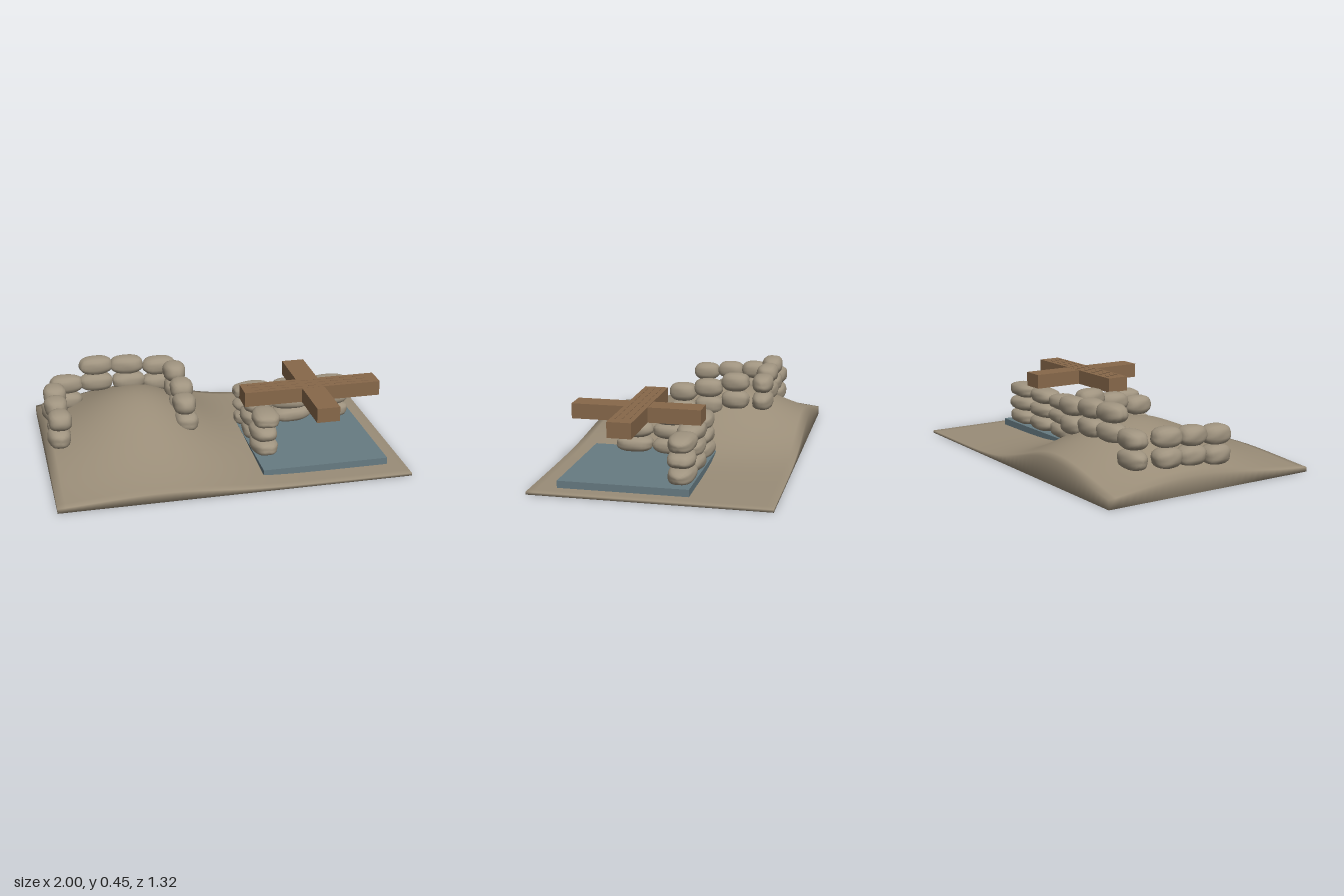
import * as THREE from 'three';
import { mergeVertices } from 'three/addons/utils/BufferGeometryUtils.js';

const material = (name, color) => {
  const m = new THREE.MeshStandardMaterial({ color });
  m.name = name;
  return m;
};

// smooth normals across the whole surface
function smooth(geometry) {
  geometry.deleteAttribute('uv');
  geometry.deleteAttribute('normal');
  const merged = mergeVertices(geometry, 1e-4);
  merged.computeVertexNormals();
  return merged;
}

// height of the earth: one broad mound on a thin slab
function groundHeight(x, z) {
  const dx = (x + 0.43) / (x < -0.43 ? 0.36 : 0.3);
  const dz = (z + 0.14) / 0.4;
  return 0.015 + 0.295 * Math.exp(-0.5 * (dx * dx + dz * dz));
}

function groundGeometry() {
  const g = new THREE.BoxGeometry(2, 1, 1.32, 44, 1, 30);
  const p = g.attributes.position;
  for (let i = 0; i < p.count; i++) {
    p.setY(i, p.getY(i) > 0 ? groundHeight(p.getX(i), p.getZ(i)) : 0);
  }
  return smooth(g);
}

// plump sack lying along x: rounded box with pinched ends and soft dents
function bagGeometry(length, height, depth, seed) {
  const g = new THREE.SphereGeometry(1, 20, 14);
  g.rotateZ(Math.PI / 2);
  const p = g.attributes.position;
  const v = new THREE.Vector3();
  const skew = 0.13 * Math.sin(seed * 2.3);
  for (let i = 0; i < p.count; i++) {
    v.fromBufferAttribute(p, i);
    const norm = Math.pow(Math.abs(v.x) ** 3 + Math.abs(v.y) ** 3 + Math.abs(v.z) ** 3, 1 / 3);
    v.divideScalar(norm);
    const dent = 1 + 0.025 * Math.sin(v.x * 6 + seed) * Math.sin(v.z * 5 + seed * 1.7)
      + 0.02 * Math.sin(v.y * 5 + v.x * 4 + seed * 3.1);
    const taper = (1 - 0.12 * v.x * v.x) * (1 + skew * v.x);
    p.setXYZ(i, v.x * length / 2 * dent, v.y * height / 2 * (1 - 0.08 * v.x * v.x),
      v.z * depth / 2 * dent * taper);
  }
  return smooth(g);
}

export function createModel() {
  const model = new THREE.Group();
  model.name = 'sandbagPosition';
  const earth = material('earth', 0x9a8d78);
  const sack = material('sandbagCloth', 0xa09480);
  const slate = material('slateFloor', 0x677b82);
  const wood = material('timber', 0x87684a);

  const add = (parent, name, geometry, mat, x, y, z) => {
    const mesh = new THREE.Mesh(geometry, mat);
    mesh.name = name;
    mesh.position.set(x, y, z);
    parent.add(mesh);
    return mesh;
  };
  const box = (parent, name, mat, x0, x1, y0, y1, z0, z1) => add(parent, name,
    new THREE.BoxGeometry(x1 - x0, y1 - y0, z1 - z0), mat,
    (x0 + x1) / 2, (y0 + y1) / 2, (z0 + z1) / 2);

  add(model, 'ground', groundGeometry(), earth, 0, 0, 0);
  box(model, 'floorSlab', slate, 0.17, 0.9, 0.015, 0.055, -0.2, 0.52);

  // stacks of sacks
  let seed = 1;
  function stack(parent, x, z, base, count, step, size, alongZ) {
    for (let i = 0; i < count; i++) {
      const bag = add(parent, 'sandbag', bagGeometry(...size, seed), sack,
        x + 0.006 * Math.sin(seed * 4), base + step * (i + 0.5), z);
      bag.rotation.y = (alongZ ? Math.PI / 2 : 0) + 0.06 * Math.sin(seed * 5);
      seed++;
    }
  }

  // horseshoe wall on the mound, following the slope
  const moundWall = new THREE.Group();
  moundWall.name = 'moundWall';
  model.add(moundWall);
  const backSize = [0.198, 0.104, 0.122];
  const sideSize = [0.165, 0.108, 0.132];
  [[-0.83, 0.135], [-0.64, 0.242], [-0.45, 0.232], [-0.26, 0.21]].forEach(
    ([x, base]) => stack(moundWall, x, -0.4, base, 2, 0.105, backSize, false));
  [[-0.245, 0.14, 0.225], [-0.085, 0.13, 0.185], [0.075, 0.115, 0.15]].forEach(
    ([z, rightBase, leftBase]) => {
      stack(moundWall, -0.915, z, rightBase, 2, 0.108, sideSize, true);
      stack(moundWall, -0.185, z, leftBase, 2, 0.105, sideSize, true);
    });

  // corner wall of the shelter
  const shelterWall = new THREE.Group();
  shelterWall.name = 'shelterWall';
  model.add(shelterWall);
  [0.27, 0.505, 0.745].forEach(
    (x) => stack(shelterWall, x, -0.13, 0.05, 3, 0.086, [0.24, 0.09, 0.148], false));
  [0.05, 0.265].forEach(
    (z) => stack(shelterWall, 0.235, z, 0.05, 3, 0.086, [0.21, 0.09, 0.15], true));

  // crossed roof timbers
  const roof = new THREE.Group();
  roof.name = 'roofTimbers';
  model.add(roof);
  box(roof, 'crossBeam', wood, 0.13, 0.94, 0.32, 0.406, 0.095, 0.228);
  box(roof, 'backBeam', wood, 0.47, 0.602, 0.32, 0.405, -0.2, 0.095);
  box(roof, 'frontBeam', wood, 0.47, 0.602, 0.32, 0.405, 0.228, 0.525);

  // raised grain along the cross beam
  [0.125, 0.163, 0.2].forEach((z, row) => {
    for (let i = 0; i < 9; i++) {
      const x = 0.17 + i * 0.08 + row * 0.012;
      box(roof, 'woodGrain', wood, x, x + 0.045, 0.405, 0.409, z - 0.002, z + 0.002);
    }
  });

  return model;
}
